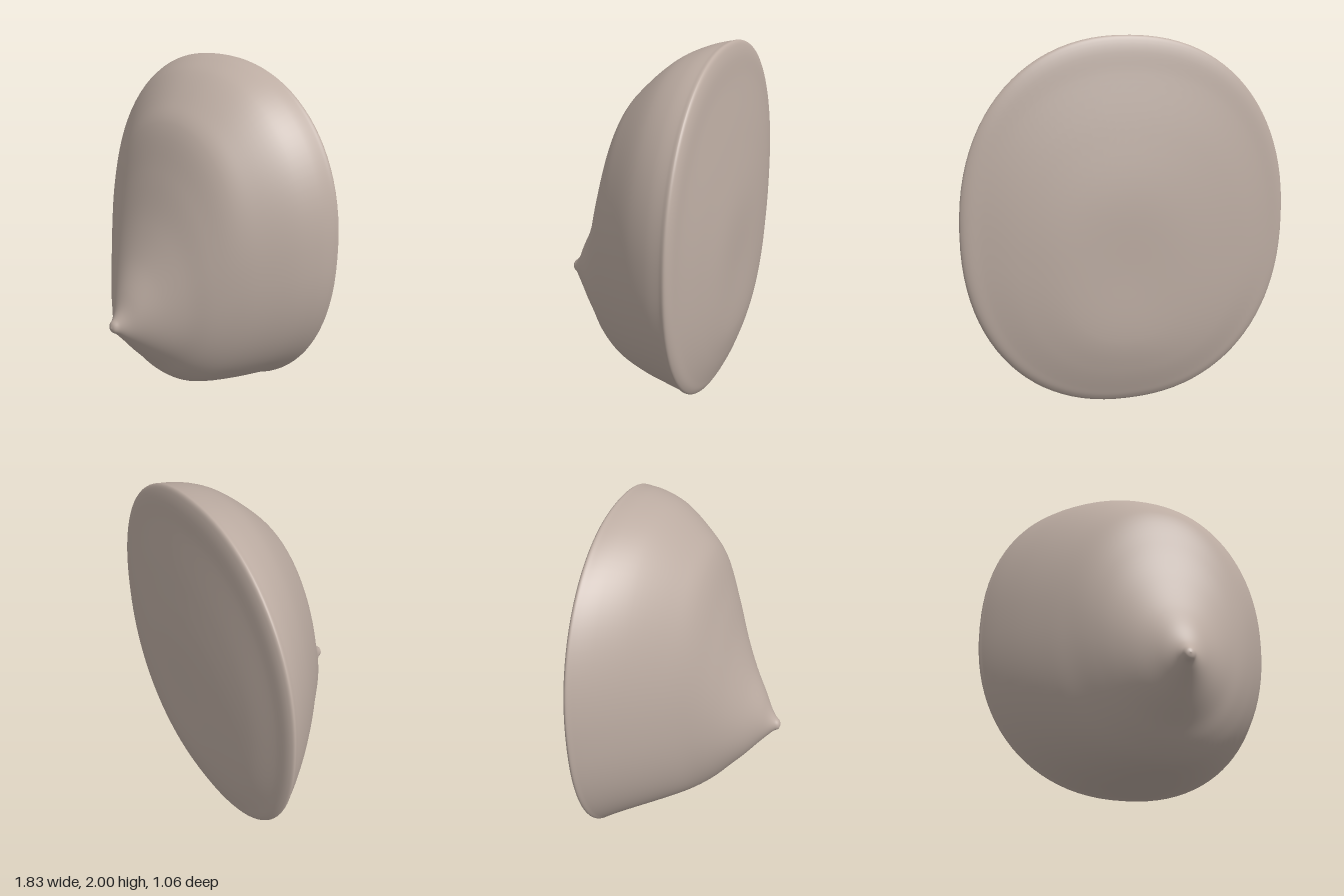
import * as THREE from 'three';

// Cross-sections from tip to back: z, min x, max x, min y, max y
const SECTIONS = [
  [0.525, 0.1, 0.1, 0.582, 0.582],
  [0.515, 0.075, 0.125, 0.555, 0.608],
  [0.49, 0.06, 0.145, 0.537, 0.632],
  [0.46, 0.035, 0.177, 0.505, 0.675],
  [0.41, -0.03, 0.24, 0.45, 0.785],
  [0.33, -0.14, 0.34, 0.36, 0.945],
  [0.25, -0.24, 0.44, 0.275, 1.155],
  [0.17, -0.335, 0.545, 0.185, 1.42],
  [0.08, -0.44, 0.64, 0.115, 1.675],
  [-0.015, -0.55, 0.72, 0.08, 1.79],
  [-0.175, -0.72, 0.83, 0.05, 1.925],
  [-0.3, -0.835, 0.885, 0.03, 1.98],
  [-0.38, -0.897, 0.905, 0.01, 1.998],
  [-0.41, -0.915, 0.912, 0, 2],
  [-0.43, -0.89, 0.89, 0.025, 1.955],
  [-0.45, -0.8, 0.8, 0.075, 1.8],
  [-0.49, -0.62, 0.62, 0.2, 1.5],
  [-0.525, -0.3, 0.38, 0.38, 1.15],
  [-0.527, 0.04, 0.04, 0.77, 0.77],
];

// Slightly squared oval point on one cross-section
function sectionPoint([z, x0, x1, y0, y1], angle) {
  const power = 2 / THREE.MathUtils.mapLinear(z, 0.53, -0.53, 2, 2.25);
  const round = (v) => Math.sign(v) * Math.abs(v) ** power;
  return new THREE.Vector3(
    (x0 + x1) / 2 + ((x1 - x0) / 2) * round(Math.cos(angle)),
    (y0 + y1) / 2 + ((y1 - y0) / 2) * round(Math.sin(angle)),
    z
  );
}

// Smooth closed loft: a spline runs tip to back at every angle
function loft(sides, steps) {
  const positions = [];
  const indices = [];
  for (let j = 0; j < sides; j++) {
    const angle = (j / sides) * Math.PI * 2;
    const rib = new THREE.CatmullRomCurve3(SECTIONS.map((s) => sectionPoint(s, angle)));
    for (let i = 0; i <= steps; i++) positions.push(...rib.getPoint(i / steps).toArray());
  }
  for (let j = 0; j < sides; j++) {
    for (let i = 0; i < steps; i++) {
      const a = j * (steps + 1) + i;
      const b = ((j + 1) % sides) * (steps + 1) + i;
      indices.push(a, a + 1, b, b, a + 1, b + 1);
    }
  }
  const geometry = new THREE.BufferGeometry();
  geometry.setAttribute('position', new THREE.Float32BufferAttribute(positions, 3));
  geometry.setIndex(indices);
  geometry.computeVertexNormals();
  return geometry;
}

export function createModel() {
  const group = new THREE.Group();
  const clay = new THREE.MeshStandardMaterial({ color: 0xbcaca2 });
  clay.name = 'warm grey';

  // Rounded shell with an off-centre pointed tip
  const shell = new THREE.Mesh(loft(96, 108), clay);
  shell.name = 'pointedShell';
  group.add(shell);
  return group;
}
